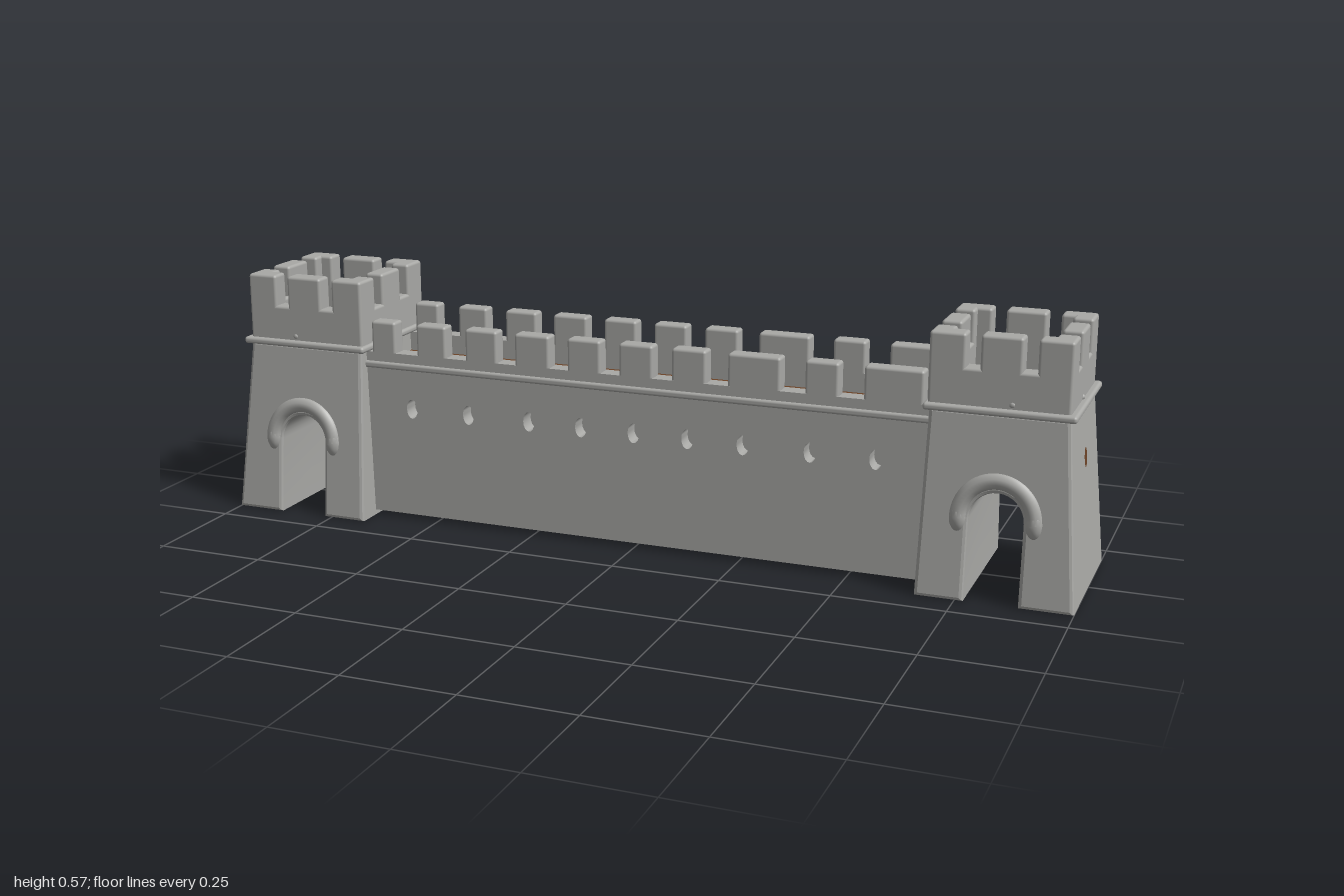
import * as THREE from 'three';
import { toCreasedNormals } from 'three/addons/utils/BufferGeometryUtils.js';
import { RoundedBoxGeometry } from 'three/addons/geometries/RoundedBoxGeometry.js';

const stone = new THREE.MeshStandardMaterial({ color: 0xa9a9a6 });
stone.name = 'stone grey';
const earth = new THREE.MeshStandardMaterial({ color: 0x6b4226, side: THREE.DoubleSide });
earth.name = 'earth brown';

const BAND_Y = 0.405;
const faceZ = (y) => 0.189 - 0.039 * (y / 0.4); // sloping tower front
const outerX = (y) => 1.0 - 0.033 * (y / 0.4); // sloping tower outer side

function add(parent, geometry, material, name) {
  const mesh = new THREE.Mesh(geometry, material);
  mesh.name = name;
  parent.add(mesh);
  return mesh;
}

// Softly rounded block given by its extents
function block(parent, name, x0, x1, y0, y1, z0, z1, r = 0.007, material = stone) {
  const [w, h, d] = [Math.abs(x1 - x0), y1 - y0, Math.abs(z1 - z0)];
  const g = r ? new RoundedBoxGeometry(w, h, d, 2, r) : new THREE.BoxGeometry(w, h, d);
  const mesh = add(parent, g, material, name);
  mesh.position.set((x0 + x1) / 2, (y0 + y1) / 2, (z0 + z1) / 2);
  return mesh;
}

// Tapered tower body with an arched passage running front to back
function towerBody(s) {
  const shape = new THREE.Shape();
  shape.moveTo(s * 0.663, 0);
  shape.lineTo(s * 0.768, 0);
  for (let i = 0; i <= 16; i++) {
    const a = (Math.PI * i) / 16;
    shape.lineTo(s * (0.826 - 0.058 * Math.cos(a)), 0.177 + 0.06 * Math.sin(a));
  }
  shape.lineTo(s * 0.884, 0);
  shape.lineTo(s * 1.0, 0);
  shape.lineTo(s * outerX(BAND_Y), BAND_Y);
  shape.lineTo(s * 0.672, BAND_Y);
  const b = 0.008;
  const g = new THREE.ExtrudeGeometry(shape, {
    depth: 2 - 2 * b, bevelSize: b, bevelOffset: -b, bevelThickness: b, bevelSegments: 2,
  });
  g.translate(0, 0, -1 + b);
  // Pull the sides inward with height, keeping the bevel depth
  const p = g.attributes.position;
  for (let i = 0; i < p.count; i++) {
    const z = p.getZ(i);
    p.setZ(i, Math.sign(z) * (faceZ(p.getY(i)) - (1 - Math.abs(z))));
  }
  return toCreasedNormals(g, 0.3);
}

// Raised ridge on the sloping face, half sunk into it
function ridge(points, side, radius) {
  const pts = points.map(([x, y]) => new THREE.Vector3(x, y, side * (faceZ(y) - 0.006)));
  return new THREE.TubeGeometry(new THREE.CatmullRomCurve3(pts), 32, radius, 10);
}

function tower(s) {
  const g = new THREE.Group();
  g.name = s > 0 ? 'leftTower' : 'rightTower';
  g.position.z = -0.003;
  add(g, towerBody(s), stone, 'towerBody');

  // Moulding over each arch, its ends fading into the face
  const arch = [];
  for (let i = 0; i <= 16; i++) {
    const a = (Math.PI * i) / 16;
    arch.push([s * 0.826 + 0.08 * Math.cos(a), 0.18 + 0.083 * Math.sin(a)]);
  }
  for (const side of [1, -1]) {
    add(g, ridge(arch, side, 0.019), stone, 'archMoulding');
    for (const [x, y] of [arch[0], arch[16]]) {
      const end = add(g, new THREE.SphereGeometry(0.019, 12, 8), stone, 'mouldingEnd');
      end.scale.y = 1.8;
      end.position.set(x, y, side * (faceZ(y) - 0.006));
    }
    const knob = add(g, new THREE.SphereGeometry(0.008, 8, 6), stone, 'frontKnob');
    knob.position.set(s * 0.845, 0.425, side * 0.145);
  }
  // Band around the tower
  block(g, 'band', s * 0.66, s * 0.98, 0.4, 0.416, -0.162, 0.162);

  // Parapet walls and merlons
  const [xi, xo, t, zo] = [0.668, 0.966, 0.045, 0.15];
  const rim = 0.495, top = 0.567;
  for (const side of [1, -1]) {
    block(g, 'parapet', s * xi, s * xo, 0.405, rim, side * zo, side * (zo - t));
    for (const [a, b] of [[xi, 0.745], [0.775, 0.863], [0.893, xo]])
      block(g, 'merlon', s * a, s * b, 0.45, top, side * zo, side * (zo - t));
  }
  for (const [a, b] of [[xi, xi + t], [xo - t, xo]]) {
    block(g, 'parapet', s * a, s * b, 0.405, rim, -zo, zo);
    for (const [c, d] of [[-zo, -0.08], [-0.042, 0.044], [0.08, zo]])
      block(g, 'merlon', s * a, s * b, 0.45, top, c, d);
  }
  block(g, 'towerFloor', s * 0.7, s * 0.94, 0.41, 0.422, -0.12, 0.12, 0, earth);

  // Oval window in the outer side, tilted with the slope
  const win = new THREE.Group();
  win.name = 'sideWindow';
  win.position.set(s * (outerX(0.287) + 0.001), 0.287, -0.003);
  win.rotation.y = (s * Math.PI) / 2;
  const pane = add(win, new THREE.CircleGeometry(1, 20), earth, 'windowOpening');
  pane.scale.set(0.015, 0.022, 1);
  pane.rotation.x = -Math.atan(0.033 / 0.4);
  g.add(win);
  const sideKnob = add(g, new THREE.SphereGeometry(0.008, 8, 6), stone, 'sideKnob');
  sideKnob.position.set(s * (xo - 0.004), 0.42, 0.01);

  if (s < 0) {
    // Stone patch on the floor and pointed ridge above the rear arch
    block(g, 'floorPatch', -0.93, -0.845, 0.421, 0.427, -0.04, 0.09, 0);
    block(g, 'floorPatch', -0.85, -0.81, 0.421, 0.427, -0.02, 0.035, 0);
    const peak = [[-0.04, 0.262], [-0.02, 0.325], [0, 0.355], [0.02, 0.325], [0.04, 0.262]];
    add(g, ridge(peak.map(([x, y]) => [x - 0.826, y]), -1, 0.016), stone, 'rearRidge');
  }
  return g;
}

// Wall face pierced by oval slits
function wallPanel() {
  const shape = new THREE.Shape();
  shape.moveTo(-0.68, 0.012);
  shape.lineTo(0.68, 0.012);
  shape.lineTo(0.68, 0.4);
  shape.lineTo(-0.68, 0.4);
  for (const x of [-0.556, -0.41, -0.257, -0.128, 0, 0.128, 0.257, 0.41, 0.556]) {
    const hole = new THREE.Path();
    hole.absellipse(x, 0.27, 0.014, 0.023, 0, Math.PI * 2, true);
    shape.holes.push(hole);
  }
  const g = new THREE.ExtrudeGeometry(shape, { depth: 0.04, bevelEnabled: false, curveSegments: 8 });
  return toCreasedNormals(g, 0.9);
}

// Two panels joined by the walkway, open underneath
function wall() {
  const g = new THREE.Group();
  g.name = 'curtainWall';
  g.position.z = -0.006;
  const merlons = [
    [-0.657, -0.595], [-0.54, -0.465], [-0.415, -0.335], [-0.29, -0.205], [-0.16, -0.08],
    [-0.035, 0.045], [0.09, 0.17], [0.22, 0.34], [0.395, 0.47], [0.525, 0.655],
  ];
  for (const side of [1, -1]) {
    const panel = add(g, wallPanel(), stone, 'wallPanel');
    panel.position.z = side > 0 ? 0.087 : -0.127;
    block(g, 'ledge', -0.68, 0.68, 0.362, 0.378, side * 0.11, side * 0.134, 0.006);
    for (const [a, b] of merlons)
      block(g, 'wallMerlon', a, b, 0.38, 0.473, side * 0.127, side * 0.087);
  }
  block(g, 'walkway', -0.69, 0.69, 0.34, 0.355, -0.09, 0.09, 0, earth);
  return g;
}

export function createModel() {
  const model = new THREE.Group();
  model.name = 'castleWall';
  model.add(tower(1), tower(-1), wall());
  return model;
}
